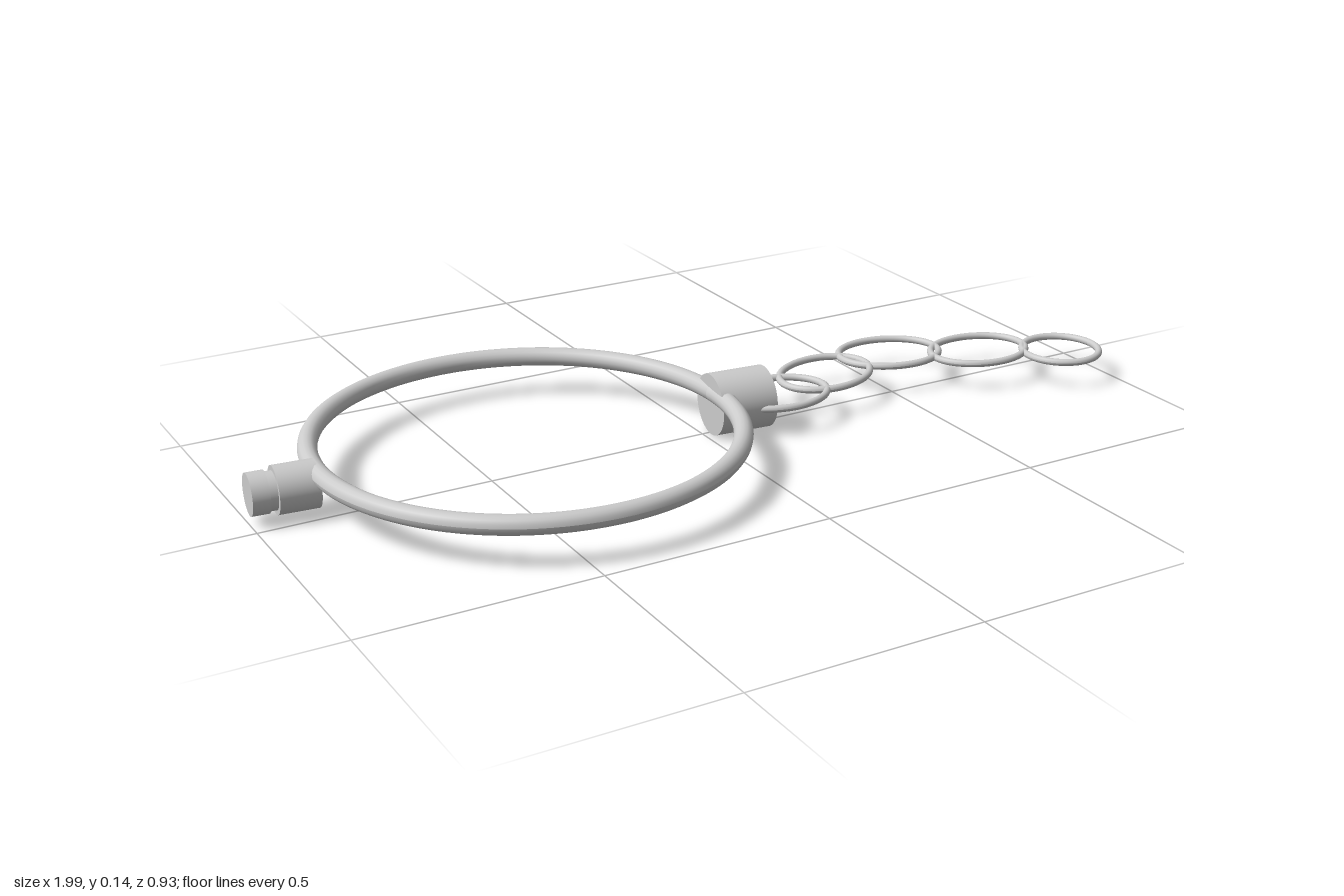
import * as THREE from 'three';

const material = new THREE.MeshStandardMaterial({ color: 0xcccccc });

function createRing(name, radius, tube, x, y, z, stretch = 1, turn = 0, segments = 64) {
  const geometry = new THREE.TorusGeometry(radius, tube, 16, segments);
  geometry.rotateX(Math.PI / 2);
  // Lengthen the path along x while keeping the wire round
  const p = geometry.attributes.position;
  for (let i = 0; i < p.count; i++) {
    const d = Math.hypot(p.getX(i), p.getZ(i));
    p.setX(i, p.getX(i) + (p.getX(i) / d) * radius * (stretch - 1));
  }
  geometry.computeVertexNormals();
  const mesh = new THREE.Mesh(geometry, material);
  mesh.name = name;
  mesh.position.set(x, y, z);
  mesh.rotation.y = turn;
  return mesh;
}

// Closed cylinder lying along x, centred at the given offset
function createBarrel(name, radius, length, x = 0) {
  const geometry = new THREE.CylinderGeometry(radius, radius, length, 48);
  geometry.rotateZ(Math.PI / 2);
  const mesh = new THREE.Mesh(geometry, material);
  mesh.name = name;
  mesh.position.x = x;
  return mesh;
}

export function createModel() {
  const model = new THREE.Group();
  model.name = 'collarWithChain';

  // Main hoop
  model.add(createRing('hoop', 0.446, 0.0205, -0.416, 0.09, -0.002, 1, 0, 128));

  // Lock where the chain joins the hoop
  const lock = new THREE.Group();
  lock.name = 'lock';
  lock.position.set(0.08, 0.068, 0.013);
  lock.rotation.y = -0.09;
  lock.add(createBarrel('lockBarrel', 0.068, 0.128));
  model.add(lock);

  // Hinge on the far side: body, narrow groove and end cap
  const hinge = new THREE.Group();
  hinge.name = 'hinge';
  hinge.position.set(-0.93, 0.063, -0.042);
  hinge.rotation.y = -0.09;
  hinge.add(
    createBarrel('hingeBody', 0.05, 0.084, 0.026),
    createBarrel('hingeGroove', 0.04, 0.03, -0.025),
    createBarrel('hingeCap', 0.044, 0.036, -0.05)
  );
  model.add(hinge);

  // Chain links: x, z, stretch, turn
  const chain = new THREE.Group();
  chain.name = 'chain';
  const links = [
    [0.183, 0.013, 1.32, 0],
    [0.34, -0.038, 1.35, 0.3],
    [0.54, -0.075, 1.35, -0.22],
    [0.73, 0.013, 1.32, -0.08],
    [0.896, 0.107, 1, 0],
  ];
  links.forEach(([x, z, stretch, turn], i) => {
    chain.add(createRing(`chainLink${i + 1}`, 0.088, 0.008, x, 0.064, z, stretch, turn));
  });
  model.add(chain);

  return model;
}
